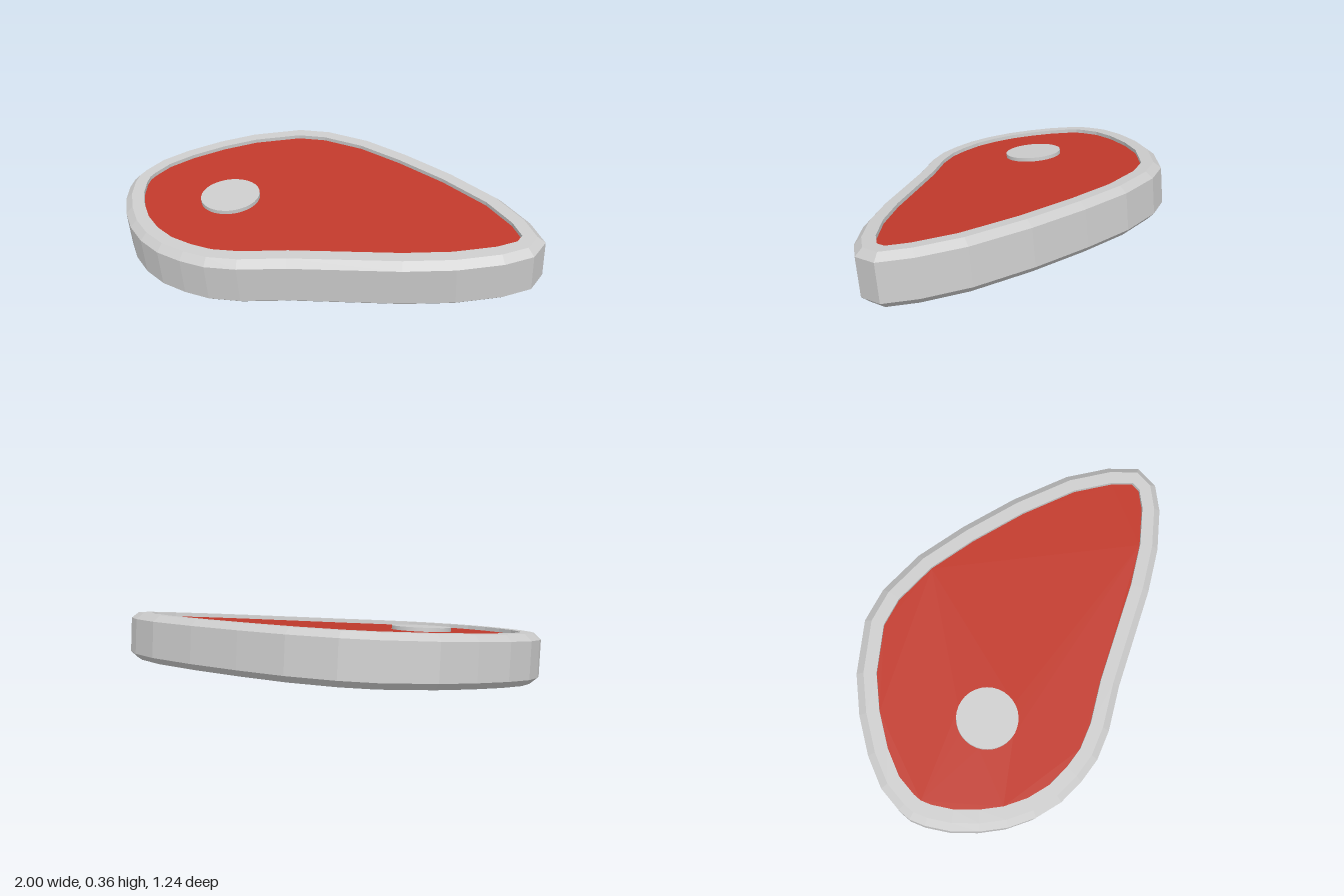
import * as THREE from 'three';

// Outline of the slab in plan as [x, z], running back -> left end -> front -> tip
const OUTLINE = [
  [-0.21, -0.62], [-0.375, -0.605], [-0.6, -0.493], [-0.745, -0.376], [-0.87, -0.242],
  [-0.955, -0.115], [-0.99, 0], [-0.998, 0.06], [-0.985, 0.13], [-0.945, 0.235],
  [-0.88, 0.34], [-0.8, 0.435], [-0.7, 0.515], [-0.585, 0.573], [-0.46, 0.602],
  [-0.34, 0.612], [-0.2, 0.59], [0, 0.526], [0.47, 0.413], [0.68, 0.344],
  [0.86, 0.253], [0.965, 0.168], [0.995, 0.055], [0.91, -0.071], [0.757, -0.215],
  [0.51, -0.365], [0.254, -0.488], [0.02, -0.579],
].map(([x, z]) => new THREE.Vector2(x, z));

const HALF = 0.114;      // half thickness
const MEAT_TOP = 0.096;  // meat lies slightly below the rim
const RIM = 0.09;        // width of the rim
const BONE = { x: -0.453, z: 0.104, r: 0.138 };

// Mitred inset of the closed outline
function inset(points, d) {
  const n = points.length;
  const normal = (a, b) => {
    const t = b.clone().sub(a).normalize();
    return new THREE.Vector2(t.y, -t.x);
  };
  return points.map((p, i) => {
    const n1 = normal(points[(i + n - 1) % n], p);
    const n2 = normal(p, points[(i + 1) % n]);
    const k = d / (1 + n1.dot(n2));
    return n1.add(n2).multiplyScalar(k).add(p);
  });
}

// Chamfered rim: cross-section of [inset, y] swept round the outline
function rimGeometry() {
  const rings = [
    [RIM, MEAT_TOP], [RIM, HALF], [0.033, HALF], [0, 0.0845],
    [0, -0.0845], [0.033, -HALF], [RIM, -HALF],
  ].map(([d, y]) => inset(OUTLINE, d).map((p) => [p.x, y, p.y]));
  const pos = [];
  const n = OUTLINE.length;
  for (let j = 0; j < rings.length - 1; j++) {
    for (let i = 0; i < n; i++) {
      const k = (i + 1) % n;
      const a = rings[j][i], b = rings[j + 1][i], c = rings[j + 1][k], d = rings[j][k];
      pos.push(...a, ...b, ...c, ...a, ...c, ...d);
    }
  }
  const g = new THREE.BufferGeometry();
  g.setAttribute('position', new THREE.Float32BufferAttribute(pos, 3));
  g.computeVertexNormals();
  return g;
}

// Meat slab with a hole for the bone
function meatGeometry() {
  const shape = new THREE.Shape(inset(OUTLINE, RIM));
  const hole = new THREE.Path();
  hole.absarc(BONE.x, BONE.z, BONE.r, 0, Math.PI * 2, true);
  shape.holes.push(hole);
  const g = new THREE.ExtrudeGeometry(shape, {
    depth: MEAT_TOP + HALF, bevelEnabled: false, curveSegments: 32,
  });
  return g.rotateX(Math.PI / 2).translate(0, MEAT_TOP, 0);
}

export function createModel() {
  const group = new THREE.Group();
  group.name = 'steak';
  const slab = new THREE.Group();
  slab.name = 'slab';
  const add = (name, geometry, material) => {
    const mesh = new THREE.Mesh(geometry, material);
    mesh.name = name;
    slab.add(mesh);
    return mesh;
  };

  const grey = new THREE.MeshStandardMaterial({ color: 0xcccccc });
  const greyFlat = new THREE.MeshStandardMaterial({ color: 0xcccccc, flatShading: true });
  const red = new THREE.MeshStandardMaterial({ color: 0xc0392b });

  add('fatRim', rimGeometry(), greyFlat);
  add('meat', meatGeometry(), red);
  add('bone', new THREE.CylinderGeometry(BONE.r, BONE.r, HALF * 2, 32), grey)
    .position.set(BONE.x, 0, BONE.z);

  // The slab lies tilted, lower at the front and the broad end
  slab.rotation.set(0.108, 0, 0.0175);
  slab.position.y = 0.183;
  group.add(slab);
  return group;
}
